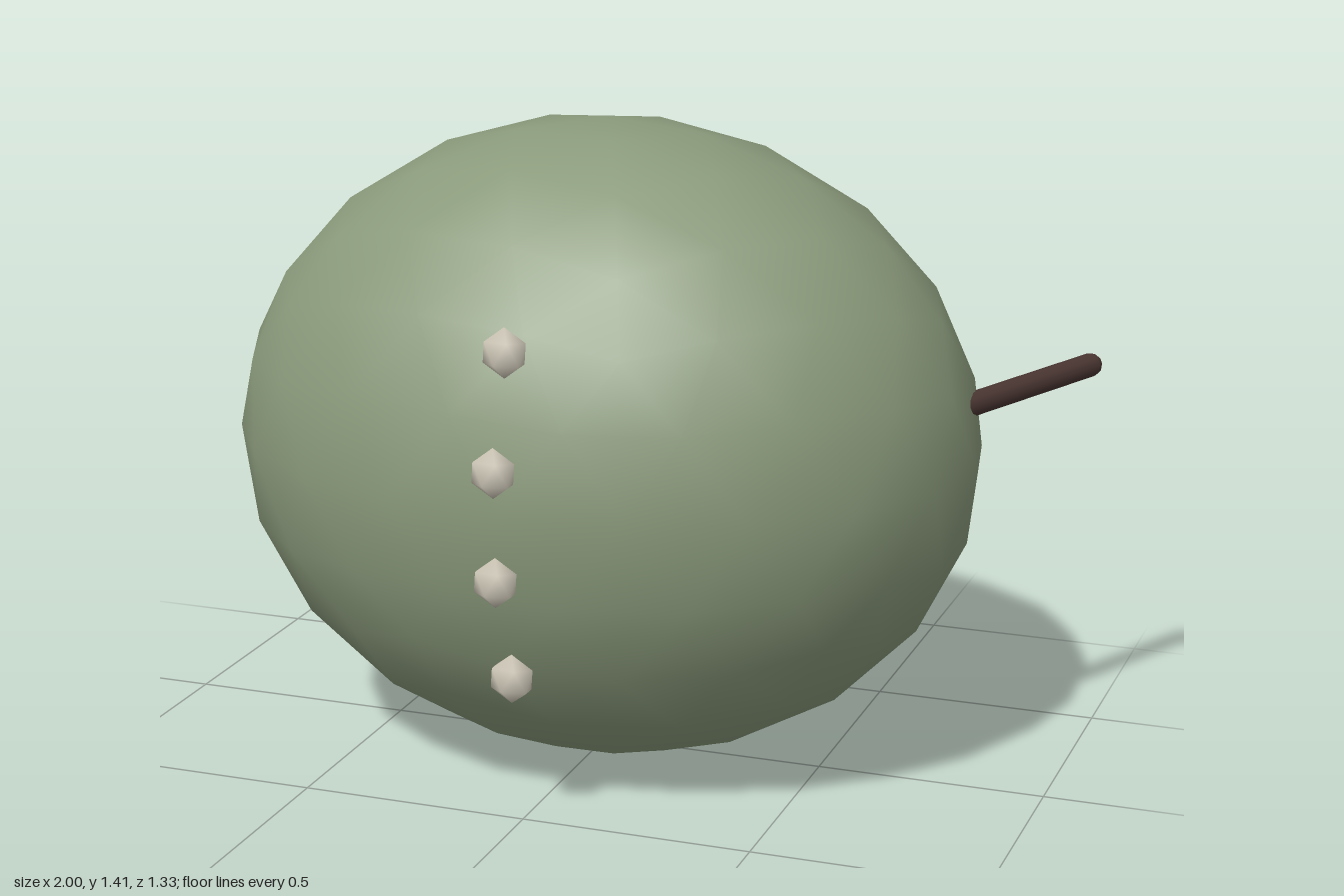
import * as THREE from 'three';

// Icosphere with a vertex at each pole and smooth radial normals
function icosphere(detail) {
  const h = Math.sqrt(0.2), r = 2 * h;
  const verts = [0, 1, 0, 0, -1, 0];
  const faces = [];
  for (let k = 0; k < 5; k++) {
    const a = k * Math.PI * 0.4, b = a + Math.PI * 0.2;
    verts.push(r * Math.cos(a), h, r * Math.sin(a));
    verts.push(r * Math.cos(b), -h, r * Math.sin(b));
    const n = (k + 1) % 5;
    const u0 = 2 + 2 * k, l0 = u0 + 1, u1 = 2 + 2 * n, l1 = u1 + 1;
    faces.push(0, u1, u0, u0, u1, l0, l0, u1, l1, 1, l0, l1);
  }
  const geo = new THREE.PolyhedronGeometry(verts, faces, 1, detail);
  geo.setAttribute('normal', geo.getAttribute('position').clone());
  return geo;
}

export function createModel() {
  const model = new THREE.Group();
  const green = new THREE.MeshStandardMaterial({ name: 'sage green', color: 0x8a9a7b });
  const cream = new THREE.MeshStandardMaterial({ name: 'stone cream', color: 0xcfc8b8 });
  const brown = new THREE.MeshStandardMaterial({ name: 'dark brown', color: 0x4a3632 });

  const add = (name, geo, mat, x, y, z) => {
    const mesh = new THREE.Mesh(geo, mat);
    mesh.name = name;
    mesh.position.set(x, y, z);
    model.add(mesh);
    return mesh;
  };

  // Rounded body
  add('body', icosphere(3), green, 0, 0.707, -0.015).scale.set(0.83, 0.704, 0.647);

  // Row of buttons down the front
  const buttonGeo = icosphere(0);
  [[1.034, 0.582], [0.802, 0.648], [0.57, 0.641], [0.336, 0.557]].forEach(([y, z], i) => {
    add(`button${i + 1}`, buttonGeo, cream, 0, y, z).scale.set(0.052, 0.053, 0.028);
  });

  // Thin arms swept backwards, rooted inside the body
  for (const side of [1, -1]) {
    const root = new THREE.Vector3(side * 0.735, 0.828, 0.04);
    const tip = new THREE.Vector3(side * 0.974, 0.849, -0.437);
    const dir = tip.clone().sub(root);
    const mid = root.clone().add(tip).multiplyScalar(0.5);
    const arm = add(side > 0 ? 'leftArm' : 'rightArm',
      new THREE.CapsuleGeometry(0.026, dir.length(), 4, 10), brown, mid.x, mid.y, mid.z);
    arm.quaternion.setFromUnitVectors(new THREE.Vector3(0, 1, 0), dir.normalize());
  }
  return model;
}
